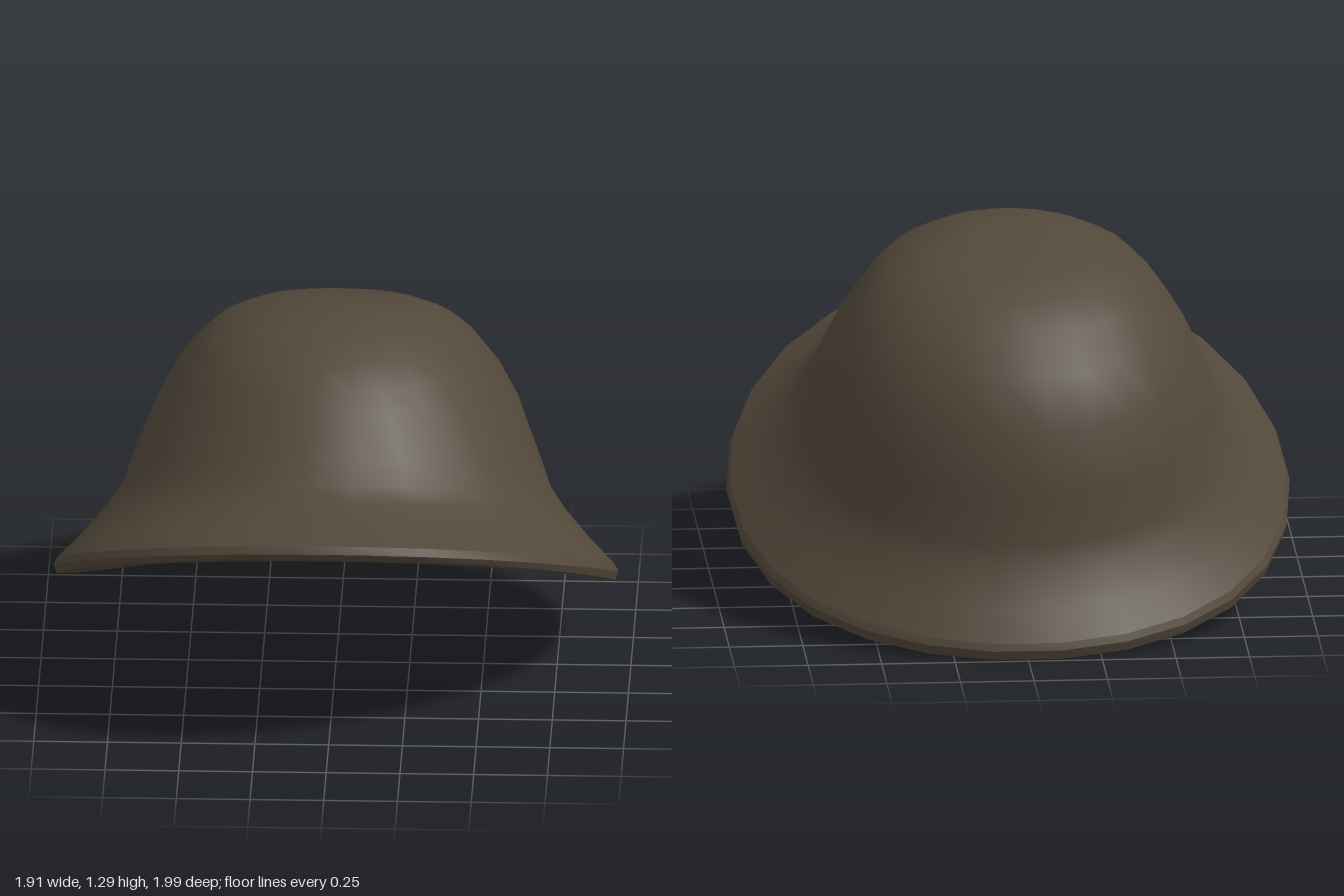
import * as THREE from 'three';
import { toCreasedNormals } from 'three/addons/utils/BufferGeometryUtils.js';

const SEGMENTS = 26;

// Tilted oval rings: [front z, front y, back z, back y, half width, side sag, rear fullness]
const OUTER = [
  [-0.04, 1.295, -0.04, 1.295, 0, 0],
  [0.10, 1.29, -0.18, 1.265, 0.15, -0.01, 0.08],
  [0.20, 1.265, -0.43, 1.195, 0.31, -0.01, 0.08],
  [0.32, 1.22, -0.55, 1.14, 0.415, 0, 0.08],
  [0.42, 1.155, -0.66, 1.06, 0.485, 0, 0.08],
  [0.48, 1.095, -0.77, 0.93, 0.55, 0, 0.08],
  [0.53, 1.04, -0.835, 0.75, 0.615, 0, 0.07],
  [0.59, 0.975, -0.855, 0.52, 0.68, 0.01, 0.05],
  [0.65, 0.91, -0.843, 0.36, 0.725, 0.02, 0.03],
  [0.72, 0.87, -0.86, 0.28, 0.775, 0.03],
  [0.85, 0.845, -0.925, 0.16, 0.86, 0.05],
];
const RIM = [
  [0.985, 0.825, -0.992, 0.06, 0.945, 0.07],
  [1.0, 0.80, -1.0, 0.035, 0.957, 0.07],
  [0.99, 0.78, -0.985, 0.002, 0.948, 0.075],
  [0.96, 0.76, -0.955, 0.012, 0.92, 0.07],
];
const FLANGE = [
  [0.84, 0.78, -0.86, 0.11, 0.80, 0.07],
  [0.70, 0.79, -0.78, 0.21, 0.70, 0.07],
  [0.60, 0.81, -0.74, 0.285, 0.625, 0.08],
];
const LINER = [
  [0.60, 0.81, -0.74, 0.285, 0.625, 0.08],
  [0.555, 0.90, -0.785, 0.40, 0.64, 0.03, 0.03],
  [0.52, 0.965, -0.80, 0.53, 0.625, 0.01, 0.05],
  [0.47, 1.03, -0.78, 0.74, 0.56, 0, 0.07],
  [0.41, 1.08, -0.715, 0.90, 0.495, 0, 0.08],
  [0.35, 1.13, -0.61, 1.02, 0.43, 0, 0.08],
  [0.27, 1.18, -0.51, 1.09, 0.365, 0, 0.08],
  [0.16, 1.215, -0.40, 1.14, 0.27, -0.01, 0.08],
  [0.08, 1.235, -0.17, 1.21, 0.13, -0.01, 0.08],
  [-0.04, 1.24, -0.04, 1.24, 0, 0],
];

function ringPoint([fz, fy, bz, by, width, sag, fullness = 0], j) {
  const angle = ((j + 0.5) / SEGMENTS) * Math.PI * 2;
  const c = Math.cos(angle), s = Math.sin(angle);
  return [
    width * s * (1 - fullness * Math.min(c, 0)),
    (fy + by) / 2 + (fy - by) / 2 * c - sag * s * s * (1 - 0.4 * c),
    (fz + bz) / 2 + (fz - bz) / 2 * c,
  ];
}

// Joins consecutive rings into a surface; rings of zero width close as poles
function loft(rings) {
  const positions = [];
  for (let i = 0; i < rings.length - 1; i++) {
    for (let j = 0; j < SEGMENTS; j++) {
      const a = ringPoint(rings[i], j), b = ringPoint(rings[i + 1], j);
      const c = ringPoint(rings[i + 1], j + 1), d = ringPoint(rings[i], j + 1);
      if (rings[i + 1][4] > 0) positions.push(...a, ...b, ...c);
      if (rings[i][4] > 0) positions.push(...a, ...c, ...d);
    }
  }
  const geometry = new THREE.BufferGeometry();
  geometry.setAttribute('position', new THREE.Float32BufferAttribute(positions, 3));
  return toCreasedNormals(geometry, 0.6);
}

export function createModel() {
  const brown = new THREE.MeshStandardMaterial({ color: 0x52483a });
  brown.name = 'dull brown';

  const model = new THREE.Group();
  model.name = 'helmet';
  const add = (name, rings) => {
    const mesh = new THREE.Mesh(loft(rings), brown);
    mesh.name = name;
    model.add(mesh);
  };

  // Dome with flared brim, rolled edge, brim underside and the hollow inside
  add('outerShell', [...OUTER, RIM[0]]);
  add('brimEdge', RIM);
  add('brimUnderside', [RIM[RIM.length - 1], ...FLANGE]);
  add('innerDome', LINER);
  return model;
}
